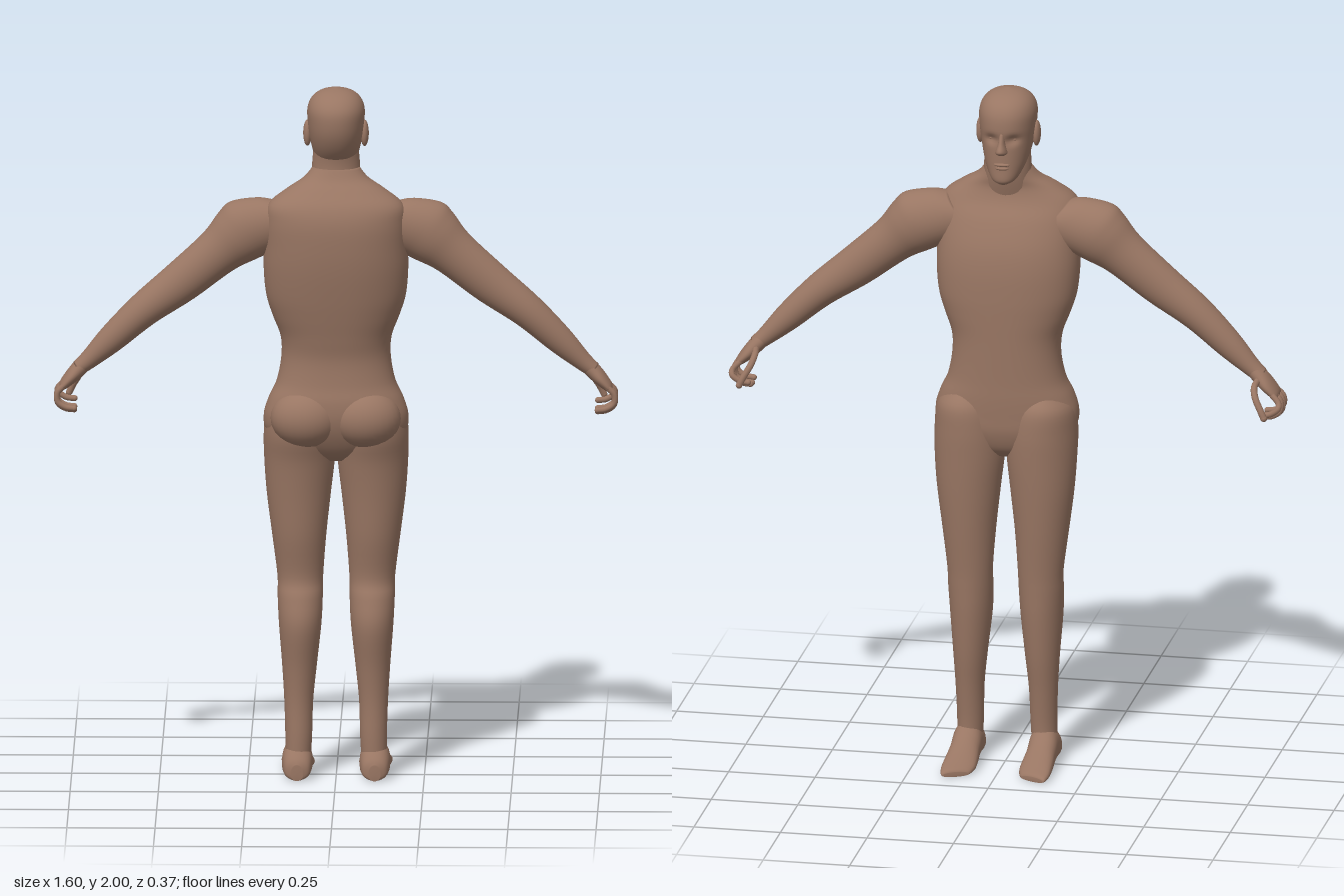
import * as THREE from 'three';
import { mergeGeometries } from 'three/addons/utils/BufferGeometryUtils.js';

// Catmull-Rom interpolation of every column of a table of sections
function refine(rows, steps) {
  const out = [];
  const at = i => rows[Math.max(0, Math.min(rows.length - 1, i))];
  for (let i = 0; i < rows.length - 1; i++) {
    for (let s = 0; s < steps; s++) {
      const t = s / steps;
      out.push(rows[i].map((b, k) => {
        const a = at(i - 1)[k], c = at(i + 1)[k], d = at(i + 2)[k];
        return b + 0.5 * t * (c - a + t * (2 * a - 5 * b + 4 * c - d + t * (3 * (b - c) + d - a)));
      }));
    }
  }
  out.push(rows[rows.length - 1]);
  return out;
}

// Closed smooth skin over sections; point(row, cos, sin) gives [x, y, z]
function loft(rows, point, sides = 36, steps = 5) {
  const rings = refine(rows, steps), pos = [], idx = [];
  for (const r of rings) {
    for (let j = 0; j < sides; j++) {
      const a = j / sides * Math.PI * 2;
      pos.push(...point(r, Math.cos(a), Math.sin(a)));
    }
  }
  for (let i = 0; i < rings.length - 1; i++) {
    for (let j = 0; j < sides; j++) {
      const k = (j + 1) % sides, a = i * sides, b = a + sides;
      idx.push(a + j, b + j, a + k, a + k, b + j, b + k);
    }
  }
  const cap = (start, flip) => {
    const c = [0, 0, 0], n = pos.length / 3;
    for (let j = 0; j < sides; j++) for (let k = 0; k < 3; k++) c[k] += pos[(start + j) * 3 + k] / sides;
    pos.push(...c);
    for (let j = 0; j < sides; j++) {
      const p = start + j, q = start + (j + 1) % sides;
      idx.push(n, flip ? q : p, flip ? p : q);
    }
  };
  cap(0, false);
  cap((rings.length - 1) * sides, true);
  const g = new THREE.BufferGeometry();
  g.setAttribute('position', new THREE.Float32BufferAttribute(pos, 3));
  g.setIndex(idx);
  g.computeVertexNormals();
  return g;
}

// Upright section: [y, centre x, half width, front z, back z]
const upright = (p = 1) => ([y, cx, hw, zf, zb], c, s) => {
  const q = v => Math.sign(v) * Math.abs(v) ** p;
  return [cx + hw * q(c), y, (zf + zb) / 2 + (zb - zf) / 2 * q(s)];
};
// Section across the arm direction: [x, y, z, radius in plane, radius in z]
const alongArm = ([x, y, z, r, rz], c, s) => [x - 0.64 * r * c, y - 0.77 * r * c, z + rz * s];

const ball = (x, y, z, rx, ry, rz) =>
  new THREE.SphereGeometry(1, 28, 20).scale(rx, ry, rz).translate(x, y, z);

function digit(points, r) {
  const path = new THREE.CatmullRomCurve3(points.map(p => new THREE.Vector3(...p)));
  const end = points[points.length - 1];
  return mergeGeometries([new THREE.TubeGeometry(path, 16, r, 10), ball(...end, r, r, r)]);
}

function mirrored(geometry) {
  const g = geometry.clone().scale(-1, 1, 1), a = g.index.array;
  for (let i = 0; i < a.length; i += 3) [a[i], a[i + 1]] = [a[i + 1], a[i]];
  return g;
}

export function createModel() {
  const model = new THREE.Group();
  model.name = 'figure';
  const skin = new THREE.MeshStandardMaterial({ color: 0x997663 });
  skin.name = 'skin';
  const add = (name, g) => {
    const m = new THREE.Mesh(g, skin);
    m.name = name;
    model.add(m);
  };
  const pair = (name, g) => {
    add('left' + name, g);
    add('right' + name, mirrored(g));
  };

  // Torso from crotch to neck base
  add('torso', loft([
    [0.92, 0, 0.06, -0.03, 0.06],
    [0.95, 0, 0.13, -0.06, 0.1],
    [1.0, 0, 0.195, -0.078, 0.13],
    [1.05, 0, 0.205, -0.082, 0.145],
    [1.1, 0, 0.191, -0.084, 0.145],
    [1.15, 0, 0.168, -0.084, 0.135],
    [1.22, 0, 0.155, -0.085, 0.13],
    [1.28, 0, 0.158, -0.086, 0.14],
    [1.34, 0, 0.18, -0.087, 0.153],
    [1.4, 0, 0.198, -0.087, 0.165],
    [1.48, 0, 0.205, -0.083, 0.178],
    [1.55, 0, 0.203, -0.07, 0.184],
    [1.62, 0, 0.2, -0.042, 0.183],
    [1.67, 0, 0.19, -0.012, 0.168],
    [1.71, 0, 0.14, 0, 0.138],
    [1.74, 0, 0.092, -0.005, 0.112],
    [1.77, 0, 0.066, -0.008, 0.096]], upright(0.88), 48));
  pair('Buttock', ball(0.085, 1.05, 0.085, 0.1, 0.085, 0.085));

  // Neck and head
  add('neck', loft([
    [1.68, 0, 0.08, 0, 0.125],
    [1.74, 0, 0.07, -0.017, 0.1],
    [1.79, 0, 0.067, -0.022, 0.096],
    [1.86, 0, 0.06, -0.02, 0.11]], upright()));
  const headSection = upright(0.94);
  add('head', loft([
    [1.737, 0, 0.014, -0.045, -0.015],
    [1.75, 0, 0.036, -0.056, 0.025],
    [1.785, 0, 0.056, -0.056, 0.08],
    [1.82, 0, 0.067, -0.056, 0.115],
    [1.86, 0, 0.075, -0.056, 0.138],
    [1.9, 0, 0.08, -0.06, 0.148],
    [1.94, 0, 0.081, -0.055, 0.146],
    [1.97, 0, 0.069, -0.036, 0.126],
    [1.99, 0, 0.043, -0.002, 0.092],
    [2.0, 0, 0.004, 0.041, 0.049]], (r, c, s) => {
    // Press in the eye sockets
    const [x, y, z] = headSection(r, c, s);
    const d = ((Math.abs(x) - 0.031) / 0.018) ** 2 + ((y - 1.872) / 0.013) ** 2;
    return [x, y, s < 0 ? z + 0.013 * Math.exp(-d) : z];
  }, 64, 6));
  add('nose', loft([
    [1.828, 0, 0.008, -0.062, -0.04],
    [1.836, 0, 0.017, -0.08, -0.03],
    [1.846, 0, 0.015, -0.085, -0.03],
    [1.865, 0, 0.01, -0.073, -0.03],
    [1.892, 0, 0.008, -0.06, -0.03]], upright(), 20));
  add('upperLip', ball(0, 1.799, -0.05, 0.024, 0.006, 0.011));
  add('lowerLip', ball(0, 1.788, -0.05, 0.02, 0.006, 0.01));
  pair('Eye', ball(0.031, 1.872, -0.026, 0.013, 0.008, 0.012));
  pair('Ear', ball(0.081, 1.868, 0.047, 0.012, 0.038, 0.019).rotateX(0));

  // Legs
  pair('Leg', loft([
    [0.05, 0.108, 0.036, -0.012, 0.07],
    [0.12, 0.106, 0.038, -0.014, 0.07],
    [0.22, 0.106, 0.041, -0.026, 0.067],
    [0.32, 0.104, 0.049, -0.042, 0.076],
    [0.44, 0.102, 0.06, -0.055, 0.096],
    [0.52, 0.102, 0.064, -0.06, 0.082],
    [0.58, 0.102, 0.065, -0.064, 0.065],
    [0.7, 0.105, 0.077, -0.076, 0.084],
    [0.82, 0.106, 0.091, -0.086, 0.096],
    [0.92, 0.104, 0.1, -0.092, 0.11],
    [1.0, 0.105, 0.1, -0.095, 0.13],
    [1.07, 0.11, 0.086, -0.09, 0.12],
    [1.11, 0.11, 0.05, -0.06, 0.08]], upright()));

  // Feet: [z, centre x, half width, top y, toe slant]
  pair('Foot', loft([
    [0.097, 0.11, 0.016, 0.045, 0],
    [0.085, 0.11, 0.035, 0.065, 0],
    [0.05, 0.11, 0.043, 0.095, 0],
    [0.005, 0.11, 0.043, 0.105, 0],
    [-0.035, 0.11, 0.043, 0.078, 0.1],
    [-0.08, 0.11, 0.046, 0.055, 0.2],
    [-0.13, 0.11, 0.047, 0.034, 0.35],
    [-0.16, 0.11, 0.041, 0.022, 0.45],
    [-0.168, 0.11, 0.034, 0.014, 0.45]], ([z, cx, hw, top, slant], c, s) => {
    const y = top * (0.4 + (s < 0 ? 0.4 : 0.6) * Math.sign(s) * Math.abs(s) ** 0.8);
    return [cx + hw * c, Math.max(0, y), z - slant * hw * c];
  }, 28));

  // Arms from inside the chest to the wrist
  pair('Arm', loft([
    [0.13, 1.62, 0.055, 0.07, 0.06],
    [0.17, 1.615, 0.05, 0.084, 0.066],
    [0.24, 1.595, 0.045, 0.093, 0.074],
    [0.28, 1.568, 0.045, 0.085, 0.073],
    [0.335, 1.522, 0.048, 0.068, 0.062],
    [0.44, 1.435, 0.052, 0.06, 0.055],
    [0.545, 1.355, 0.055, 0.049, 0.052],
    [0.635, 1.272, 0.053, 0.04, 0.042],
    [0.7, 1.21, 0.05, 0.027, 0.031],
    [0.73, 1.185, 0.048, 0.022, 0.029]], alongArm));

  // Hands
  pair('Palm', loft([
    [0.705, 1.205, 0.048, 0.022, 0.027],
    [0.728, 1.183, 0.046, 0.023, 0.034],
    [0.75, 1.16, 0.045, 0.02, 0.042],
    [0.772, 1.137, 0.045, 0.014, 0.041],
    [0.78, 1.128, 0.045, 0.007, 0.036]], alongArm, 28));
  [[0.077, 0.076, 0], [0.056, 0.052, -0.008], [0.034, 0.026, -0.004], [0.013, -0.008, 0.012]].forEach(([z, tip, dy], i) => {
    pair('Finger' + (i + 1), digit([
      [0.765, 1.143, z],
      [0.789, 1.118, (z + tip) / 2],
      [0.788, 1.092 + dy, tip],
      [0.765, 1.076 + dy, tip],
      [0.742, 1.073 + dy, tip]], 0.0085));
  });
  pair('Thumb', digit([
    [0.725, 1.178, 0.02], [0.722, 1.168, -0.015], [0.73, 1.145, -0.04],
    [0.747, 1.115, -0.054], [0.758, 1.092, -0.058]], 0.0095));

  return model;
}
